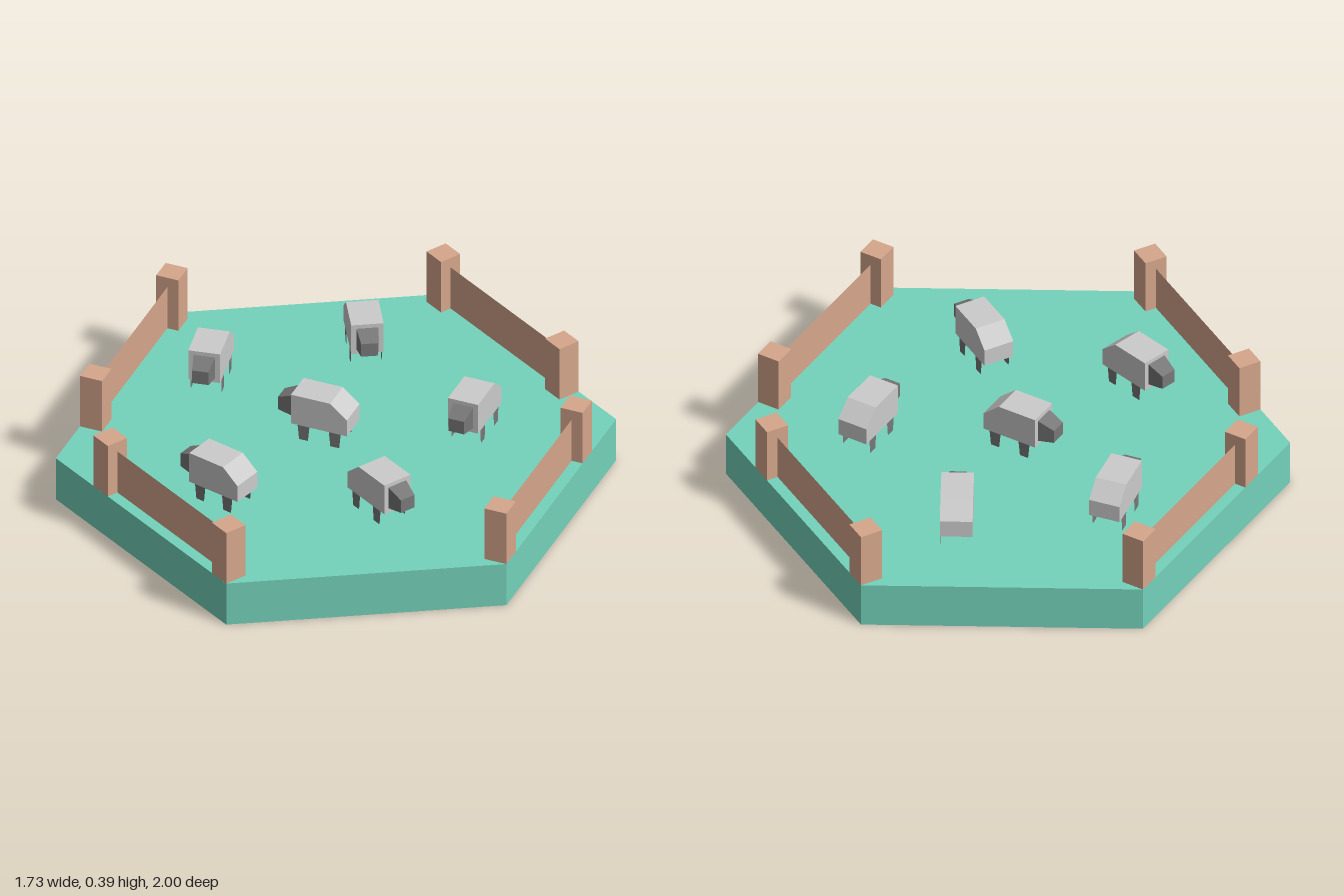
import * as THREE from 'three';

const mat = (color) => new THREE.MeshStandardMaterial({ color, flatShading: true, side: THREE.DoubleSide });
const GROUND = 0.175;

function add(parent, name, geometry, material, x = 0, y = 0, z = 0) {
  const mesh = new THREE.Mesh(geometry, material);
  mesh.name = name;
  mesh.position.set(x, y, z);
  parent.add(mesh);
  return mesh;
}

// Hollow hexagonal tile, open underneath
function makeTile(green) {
  const tile = new THREE.Group();
  tile.name = 'tile';
  add(tile, 'tileSides', new THREE.CylinderGeometry(1, 1, GROUND, 6, 1, true), green, 0, GROUND / 2, 0);
  const top = new THREE.CircleGeometry(1, 6, Math.PI / 2).rotateX(-Math.PI / 2);
  add(tile, 'tileTop', top, green, 0, GROUND, 0);
  return tile;
}

// Fence section along the +x edge: two posts joined by a thin board
function makeFence(wood, side) {
  const fence = new THREE.Group();
  fence.name = 'fence';
  const x = 0.8235, size = 0.085, height = 0.215, span = 0.695;
  for (const z of [0.4575, 0.4575 - span]) {
    add(fence, 'fencePost', new THREE.BoxGeometry(size, height, size), wood, x, GROUND + height / 2, side * z);
  }
  const board = new THREE.PlaneGeometry(span - size, 0.175).rotateY(Math.PI / 2);
  add(fence, 'fenceBoard', board, wood, x, GROUND + 0.0875, side * (0.4575 - span / 2));
  return fence;
}

// Sheep facing +z, with its rump sloped at the top
function makeSheep(wool, dark) {
  const sheep = new THREE.Group();
  sheep.name = 'sheep';
  const width = 0.116, half = 0.1075;
  const profile = new THREE.Shape([
    [-half, 0.235], [half, 0.235], [half, 0.357], [-0.043, 0.357], [-half, 0.302],
  ].map(([z, y]) => new THREE.Vector2(z, y)));
  const body = new THREE.ExtrudeGeometry(profile, { depth: width, bevelEnabled: false });
  body.translate(0, 0, -width / 2).rotateY(-Math.PI / 2);
  add(sheep, 'body', body, wool);

  // Head tapers towards the nose
  const head = new THREE.BoxGeometry(0.08, 0.09, 0.065);
  const p = head.attributes.position;
  for (let i = 0; i < p.count; i++) {
    if (p.getZ(i) > 0) {
      p.setX(i, p.getX(i) * 0.75);
      p.setY(i, p.getY(i) > 0 ? 0.017 : -0.036);
    }
  }
  add(sheep, 'head', head, dark, 0, 0.298, half + 0.0285);

  // Flat tapered legs in line with the flanks
  const legShape = new THREE.Shape([
    [-0.023, 0.235], [-0.017, GROUND], [0.017, GROUND], [0.023, 0.235],
  ].map(([z, y]) => new THREE.Vector2(z, y)));
  const leg = new THREE.ShapeGeometry(legShape).rotateY(-Math.PI / 2);
  for (const x of [-0.056, 0.056]) {
    for (const z of [-0.06, 0.06]) add(sheep, 'leg', leg, dark, x, 0, z);
  }
  return sheep;
}

export function createModel() {
  const model = new THREE.Group();
  model.name = 'sheepPasture';
  const wood = mat(0xd6a78c), wool = mat(0xd6d4d4), dark = mat(0x787878);
  model.add(makeTile(mat(0x74d2bb)));

  // Four fenced edges: angle in degrees, and which corner the section touches
  for (const [angle, side] of [[0, 1], [60, -1], [180, 1], [240, -1]]) {
    const fence = makeFence(wood, side);
    fence.rotation.y = THREE.MathUtils.degToRad(angle);
    model.add(fence);
  }

  // Flock: position x, z and facing direction x, z
  const flock = [
    [-0.043, -0.004, -1, 0],
    [0.428, -0.25, 0, 1],
    [0.315, 0.355, 0.866, 0.5],
    [-0.128, -0.556, 0.5, 0.866],
    [-0.556, -0.18, 0.17, 0.985],
    [-0.22, 0.506, -0.97, -0.25],
  ];
  for (const [x, z, dx, dz] of flock) {
    const sheep = makeSheep(wool, dark);
    sheep.position.set(x, 0, z);
    sheep.rotation.y = Math.atan2(dx, dz);
    model.add(sheep);
  }
  return model;
}
